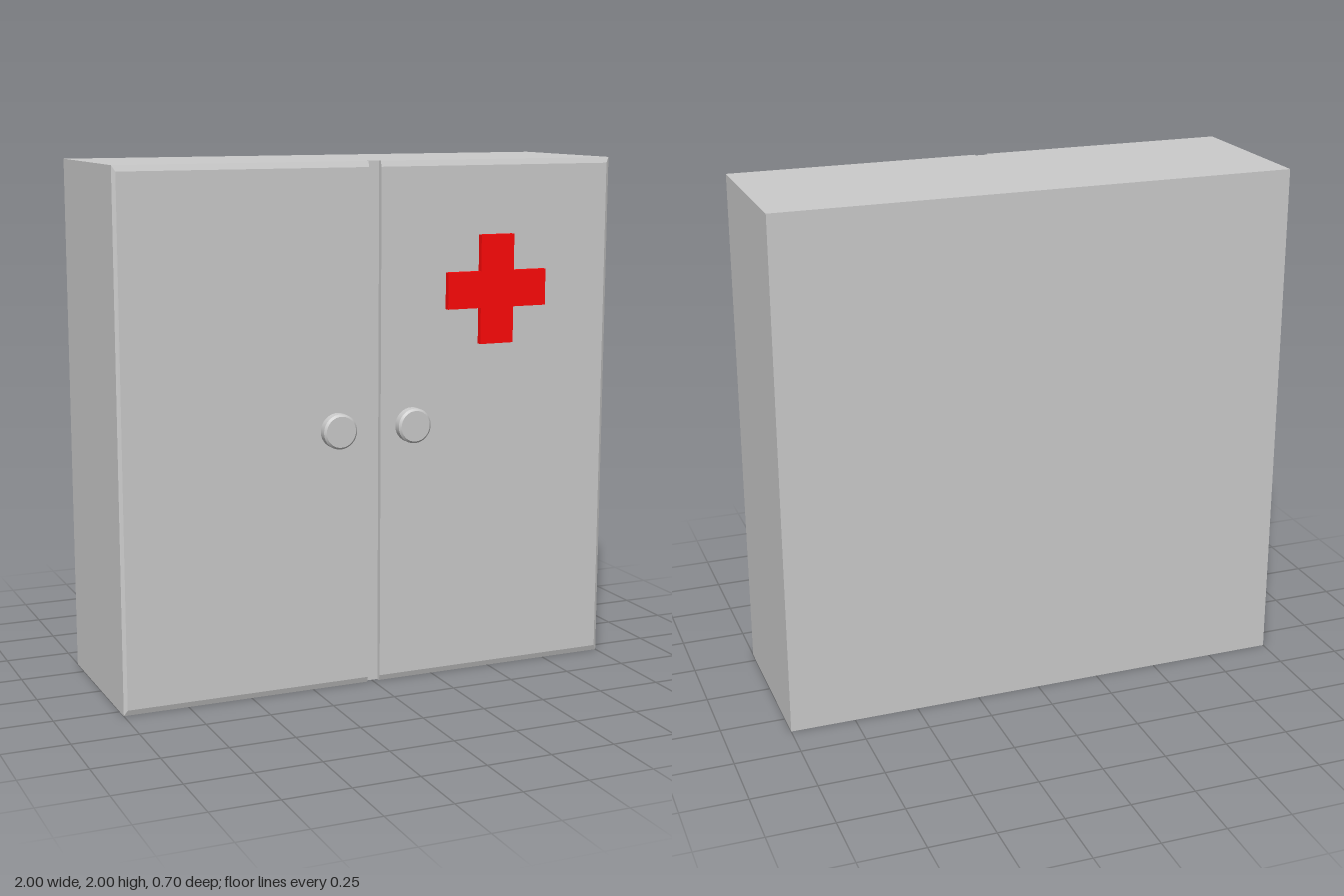
import * as THREE from 'three';

const grey = new THREE.MeshStandardMaterial({ color: 0xcccccc });
const red = new THREE.MeshStandardMaterial({ color: 0xff0808 });

const BACK = -0.35, GROOVE = 0.288, FRONT = 0.31;

function add(parent, name, geometry, material, x, y, z) {
  const mesh = new THREE.Mesh(geometry, material);
  mesh.name = name;
  mesh.position.set(x, y, z);
  parent.add(mesh);
  return mesh;
}

// Door slab whose outer, top and bottom front edges are chamfered; side is +1 or -1
function doorGeometry(width, height, depth, side) {
  const chamfer = 0.022, chamferDepth = 0.008;
  const geometry = new THREE.BoxGeometry(width, height, depth, 1, 1, 2);
  const p = geometry.attributes.position;
  for (let i = 0; i < p.count; i++) {
    const x = p.getX(i), y = p.getY(i), z = p.getZ(i);
    if (Math.abs(z) < 1e-6) p.setZ(i, depth / 2 - chamferDepth);
    if (z > 1e-6) {
      p.setY(i, y - Math.sign(y) * chamfer);
      if (x * side > 0) p.setX(i, x - side * chamfer * 0.6);
    }
  }
  const flat = geometry.toNonIndexed();
  flat.computeVertexNormals();
  return flat;
}

// Knob as a disc with a small chamfered rim, facing +z
function knobGeometry() {
  const r = 0.067, d = 0.042, c = 0.008;
  const corners = [[0, 0], [r, 0], [r, d - c], [r - c, d], [0, d]];
  // Doubled corners keep each band of the profile crisp
  const profile = corners.flatMap(([x, y], i) => {
    const v = new THREE.Vector2(x, y);
    return i > 0 && i < corners.length - 1 ? [v, v.clone()] : [v];
  });
  return new THREE.LatheGeometry(profile, 32).rotateX(Math.PI / 2);
}

// Plus-shaped plate
function crossGeometry(reach, half, depth) {
  const shape = new THREE.Shape([
    [half, reach], [-half, reach], [-half, half], [-reach, half],
    [-reach, -half], [-half, -half], [-half, -reach], [half, -reach],
    [half, -half], [reach, -half], [reach, half], [half, half],
  ].map(([x, y]) => new THREE.Vector2(x, y)));
  return new THREE.ExtrudeGeometry(shape, { depth, bevelEnabled: false });
}

export function createModel() {
  const model = new THREE.Group();
  model.name = 'medicineCabinet';

  // Cabinet body, its front showing as the gap between the doors
  add(model, 'cabinetBody', new THREE.BoxGeometry(2, 2, GROOVE - BACK), grey, 0, 1, (GROOVE + BACK) / 2);

  // Mirrored doors, each with a knob
  for (const side of [1, -1]) {
    const label = side > 0 ? 'left' : 'right';
    const door = new THREE.Group();
    door.name = label + 'DoorAssembly';
    add(door, label + 'Door', doorGeometry(0.975, 2, FRONT - GROOVE, side), grey,
      side * 0.5125, 1, (FRONT + GROOVE) / 2);
    add(door, label + 'Knob', knobGeometry(), grey, side * 0.153, 1.003, FRONT - 0.002);
    model.add(door);
  }

  // Red cross plate on the left door
  add(model, 'redCross', crossGeometry(0.209, 0.07, 0.024), red, 0.503, 1.508, FRONT - 0.002);

  return model;
}
